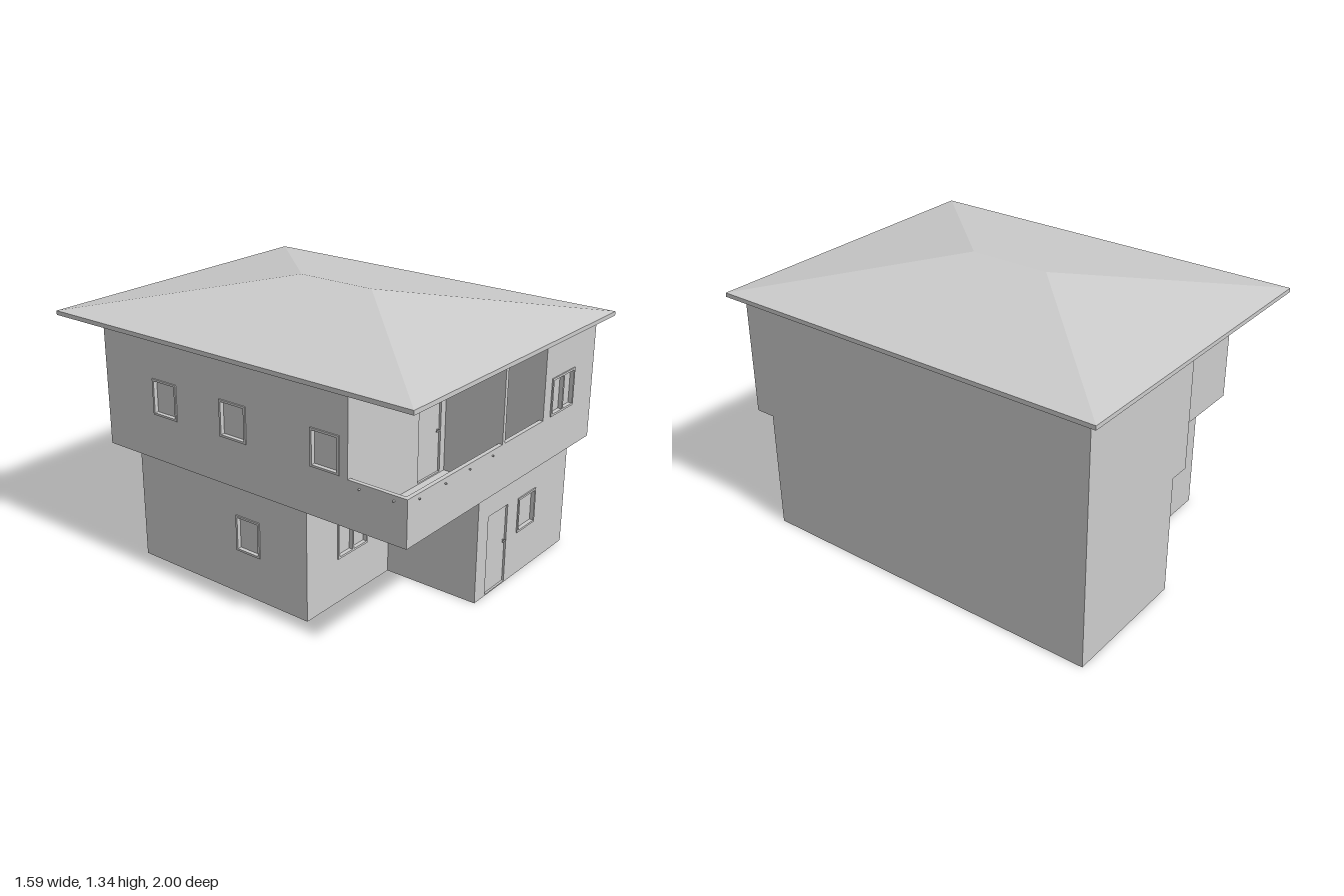
import * as THREE from 'three';

const plaster = new THREE.MeshStandardMaterial({ color: 0xcccccc });
plaster.name = 'plainGrey';

const T = 0.02;               // wall thickness
const FLOOR = 0.59, EAVES = 1.18;

function add(parent, name, geometry, x = 0, y = 0, z = 0) {
  const mesh = new THREE.Mesh(geometry, plaster);
  mesh.name = name;
  mesh.position.set(x, y, z);
  parent.add(mesh);
  return mesh;
}

function rect(path, x0, x1, y0, y1) {
  path.moveTo(x0, y0);
  path.lineTo(x1, y0);
  path.lineTo(x1, y1);
  path.lineTo(x0, y1);
  path.closePath();
  return path;
}

// Upright panel with rectangular holes, its face at local z = front
function panel(x0, x1, y0, y1, holes, depth, front) {
  const shape = rect(new THREE.Shape(), x0, x1, y0, y1);
  holes.forEach(h => shape.holes.push(rect(new THREE.Path(), ...h)));
  return new THREE.ExtrudeGeometry(shape, { depth, bevelEnabled: false }).translate(0, 0, front - depth);
}

// Flat slab from an [x, z] outline
function slab(points, height) {
  const shape = new THREE.Shape(points.map(([x, z]) => new THREE.Vector2(x, -z)));
  return new THREE.ExtrudeGeometry(shape, { depth: height, bevelEnabled: false }).rotateX(-Math.PI / 2);
}

// Raised frame with one or two sunken panes
function addWindow(wall, [x0, x1, y0, y1], panes) {
  const b = 0.01, w = (x1 - x0 - b * (panes + 1)) / panes;
  const holes = [];
  for (let i = 0; i < panes; i++) {
    const left = x0 + b + i * (w + b);
    holes.push([left, left + w, y0 + b, y1 - b]);
  }
  add(wall, 'windowFrame', panel(x0, x1, y0, y1, holes, 0.022, 0.006));
  add(wall, 'windowPane', panel(x0, x1, y0, y1, [], 0.004, -0.014));
}

// Sunken door leaf with a lever handle
function addDoor(wall, [x0, x1, y0, y1], handleY) {
  add(wall, 'doorLeaf', panel(x0, x1, y0, y1, [], 0.006, -0.01));
  add(wall, 'doorHandle', new THREE.BoxGeometry(0.024, 0.006, 0.006), x1 - 0.025, handleY, 0.004);
  add(wall, 'doorHandleStem', new THREE.BoxGeometry(0.005, 0.005, 0.014), x1 - 0.016, handleY, -0.004);
}

// Walls around an outline; openings are keyed by edge index, with spans measured along the edge
function storey(name, points, y0, y1, openings) {
  const group = new THREE.Group();
  group.name = name;
  points.forEach(([x, z], i) => {
    const [nx, nz] = points[(i + 1) % points.length];
    const list = openings[i] || [];
    const wall = new THREE.Group();
    wall.name = 'wall';
    wall.position.set(x, 0, z);
    wall.rotation.y = Math.atan2(z - nz, nx - x);
    add(wall, 'wallPanel', panel(0, Math.hypot(nx - x, nz - z), y0, y1, list.map(o => o.at), T, 0));
    list.forEach(o => o.panes ? addWindow(wall, o.at, o.panes) : addDoor(wall, o.at, o.handle));
    group.add(wall);
  });
  return group;
}

export function createModel() {
  const house = new THREE.Group();
  house.name = 'house';

  // Ground floor, outline starts at the front left and follows each face from left to right
  const ground = [
    [-0.64, 0.355], [-0.05, 0.355], [-0.05, 0.84], [0.735, 0.84],
    [0.735, -0.94], [0.07, -0.94], [0.07, -0.66], [-0.64, -0.66],
  ];
  house.add(storey('groundFloor', ground, 0, FLOOR, {
    0: [{ at: [0.21, 0.425, 0.22, 0.395], panes: 2 }],
    2: [{ at: [0.34, 0.495, 0.22, 0.395], panes: 1 },
        { at: [0.085, 0.25, 0.006, 0.4], handle: 0.224 }],
    6: [{ at: [0.155, 0.3, 0.22, 0.395], panes: 1 }],
    7: [{ at: [0.605, 0.745, 0.22, 0.395], panes: 1 }],
  }));
  add(house, 'groundSlab', slab(ground, 0.005));

  // Upper floor, with the balcony recesses and the dividing screen
  const upper = [
    [-0.735, 0.65], [-0.05, 0.65], [-0.05, 0.94], [-0.03, 0.94], [-0.03, 0.75], [0.29, 0.75],
    [0.29, 0.94], [0.735, 0.94], [0.735, -0.94], [-0.035, -0.94], [-0.035, -0.75], [-0.735, -0.75],
  ];
  const sideWindow = (a, b) => ({ at: [a, b, 0.81, 0.98], panes: 1 });
  house.add(storey('upperFloor', upper, FLOOR, EAVES, {
    0: [{ at: [0.485, 0.65, 0.611, 0.99], handle: 0.811 }],
    4: [{ at: [0.035, 0.2, 0.611, 0.99], handle: 0.811 }],
    6: [{ at: [0.06, 0.26, 0.805, 0.985], panes: 2 }],
    10: [{ at: [0.1, 0.325, 0.805, 0.985], panes: 2 }],
    11: [sideWindow(0.305, 0.45), sideWindow(0.71, 0.86), sideWindow(1.21, 1.36)],
  }));
  add(house, 'upperSlab', slab([
    [-0.735, 0.94], [0.735, 0.94], [0.735, -0.94], [-0.035, -0.94], [-0.035, -0.75], [-0.735, -0.75],
  ], 0.015), 0, FLOOR, 0);

  // Balcony parapet
  const balcony = new THREE.Group();
  balcony.name = 'balcony';
  add(balcony, 'frontParapet', new THREE.BoxGeometry(1.025, 0.213, T), -0.2225, 0.6965, 0.93);
  add(balcony, 'sideParapet', new THREE.BoxGeometry(T, 0.213, 0.29), -0.725, 0.6965, 0.795);
  // Small studs near the parapet top
  const stud = new THREE.CylinderGeometry(0.004, 0.004, 0.012, 8).rotateX(Math.PI / 2);
  [-0.66, -0.48, -0.305, -0.13].forEach(x => add(balcony, 'parapetStud', stud, x, 0.78, 0.942));
  [0.71, 0.877].forEach(z => {
    add(balcony, 'parapetStud', stud, -0.739, 0.78, z).rotation.y = Math.PI / 2;
  });
  house.add(balcony);

  // Hipped roof on a thin eaves slab
  add(house, 'eaves', new THREE.BoxGeometry(1.59, 0.02, 2), 0, EAVES + 0.01, 0);
  const X = 0.795, Y = 1.2, H = 1.34, R = 0.203;
  const a = [-X, Y, 1], b = [X, Y, 1], c = [X, Y, -1], d = [-X, Y, -1];
  const front = [0, H, R], back = [0, H, -R];
  const faces = [a, b, front, b, c, back, b, back, front, c, d, back, d, a, front, d, front, back];
  const roof = new THREE.BufferGeometry();
  roof.setAttribute('position', new THREE.Float32BufferAttribute(faces.flat(), 3));
  roof.computeVertexNormals();
  add(house, 'hippedRoof', roof);

  return house;
}
